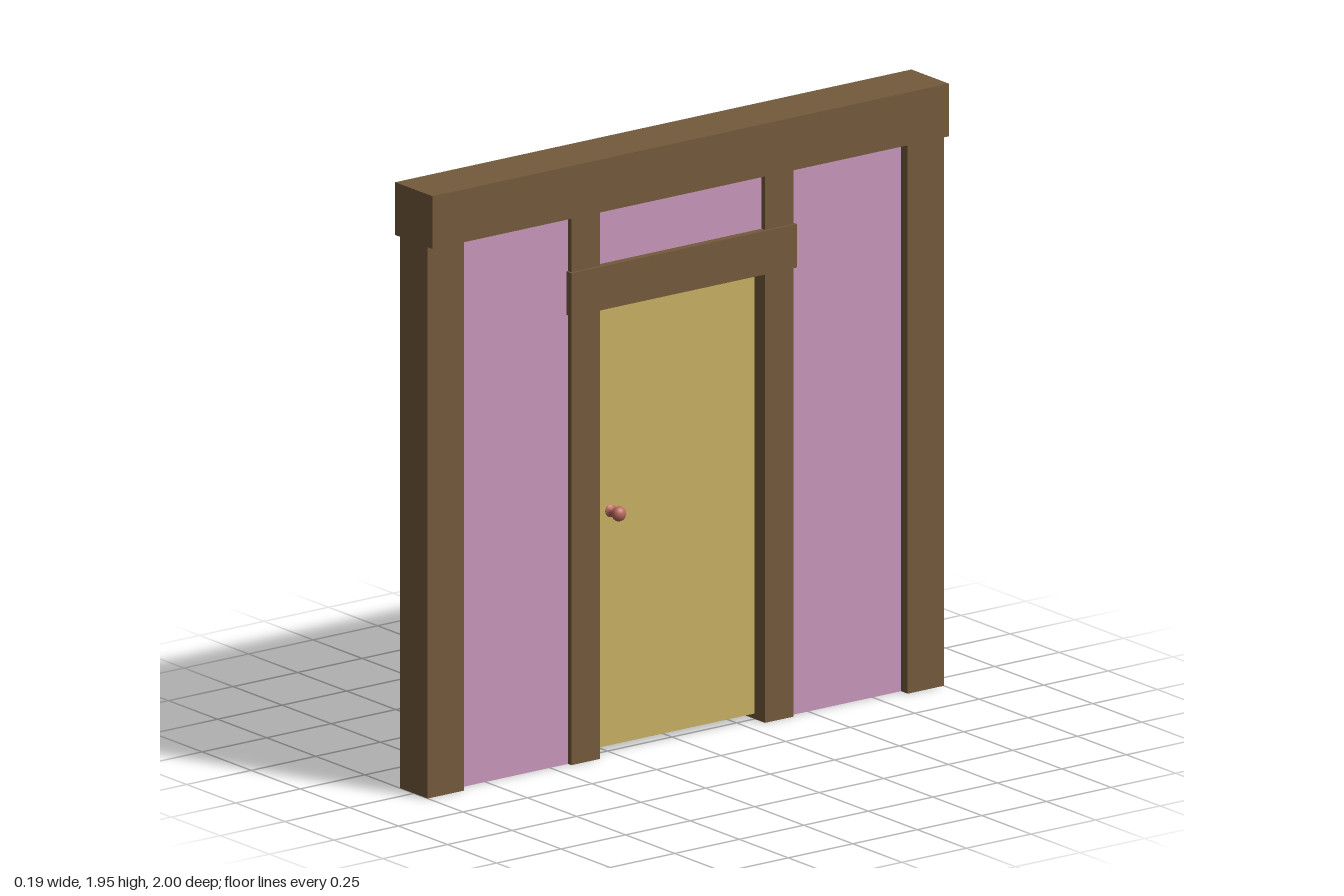
import * as THREE from 'three';

const paint = (color, side = THREE.FrontSide) => new THREE.MeshStandardMaterial({ color, side });

export function createModel() {
  const model = new THREE.Group();
  const wood = paint(0x745a3b);
  const doorPaint = paint(0xc8b062);
  const copper = paint(0xb8685c);

  const add = (name, geometry, material, x = 0, y = 0, z = 0) => {
    const mesh = new THREE.Mesh(geometry, material);
    mesh.name = name;
    mesh.position.set(x, y, z);
    model.add(mesh);
    return mesh;
  };
  // Box given by its full depth (x), bottom, top and its z range
  const beam = (name, material, depth, y0, y1, z0, z1) =>
    add(name, new THREE.BoxGeometry(depth, y1 - y0, z1 - z0), material, 0, (y0 + y1) / 2, (z0 + z1) / 2);

  // Timber frame
  beam('topBeam', wood, 0.19, 1.775, 1.945, -1, 1);
  beam('doorLintel', wood, 0.124, 1.447, 1.587, -0.437, 0.437);
  for (const s of [-1, 1]) {
    const outer = beam('outerPost', wood, 0.14, 0, 1.775, s * 0.93 - 0.07, s * 0.93 + 0.07);
    // Outer posts are hollow underneath: drop the bottom face (fourth of six)
    const index = Array.from(outer.geometry.index.array);
    index.splice(18, 6);
    outer.geometry.setIndex(index);
    outer.geometry.clearGroups();
    beam('doorPost', wood, 0.106, 0, 1.775, s * 0.375 - 0.055, s * 0.375 + 0.055);
  }

  // Wall skins: one sheet per side, with an opening for the door
  const wall = new THREE.Shape([
    [-0.93, 0], [-0.375, 0], [-0.375, 1.5], [0.375, 1.5],
    [0.375, 0], [0.93, 0], [0.93, 1.8], [-0.93, 1.8],
  ].map(([z, y]) => new THREE.Vector2(z, y)));
  for (const [s, color] of [[1, 0xc896ba], [-1, 0xb0bcc8]]) {
    const sheet = add('wallPanel', new THREE.ShapeGeometry(wall), paint(color, THREE.DoubleSide), s * 0.036);
    sheet.rotation.y = s * Math.PI / 2;
  }

  // Door with a small gap all round
  beam('door', doorPaint, 0.024, 0.022, 1.432, -0.31, 0.31);

  // Knobs: flange, stem and round grip turned about the x axis
  const profile = [[0.02, 0], [0.02, 0.005], [0.009, 0.009], [0.009, 0.026]]
    .map(([r, h]) => new THREE.Vector2(r, h));
  for (let i = 1; i <= 10; i++) {
    const a = -1.15 + (i / 10) * (1.15 + Math.PI / 2);
    profile.push(new THREE.Vector2(Math.max(0, 0.024 * Math.cos(a)), 0.044 + 0.02 * Math.sin(a)));
  }
  for (const s of [-1, 1]) {
    const knob = add('doorKnob', new THREE.LatheGeometry(profile, 20), copper, s * 0.012, 0.777, 0.248);
    knob.rotation.z = -s * Math.PI / 2;
  }

  return model;
}
